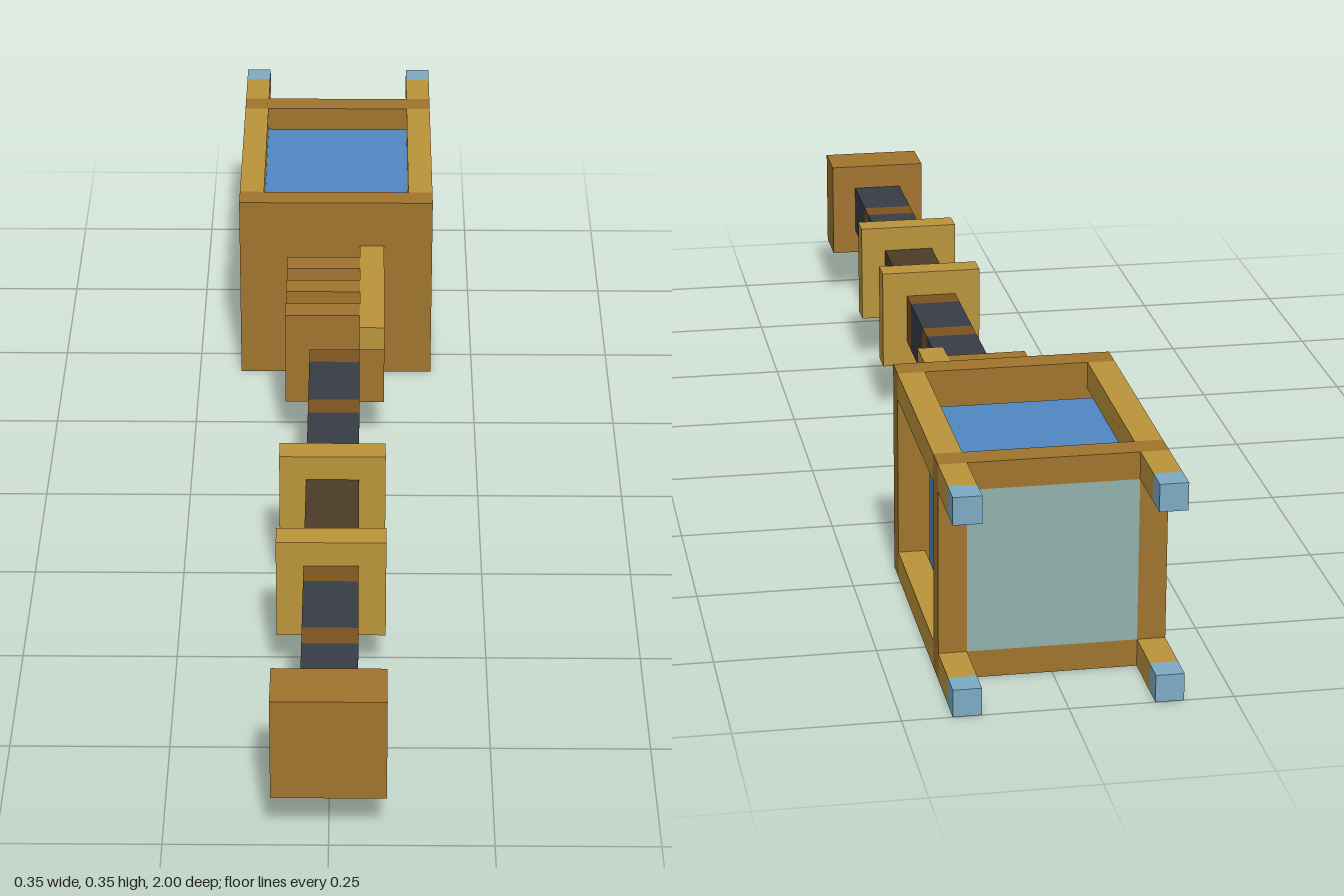
import * as THREE from 'three';

const U = 2 / 46; // one block unit; the model is 46 units long

const paint = (name, hex) => {
  const m = new THREE.MeshStandardMaterial({ color: hex });
  m.name = name;
  return m;
};

export function createModel() {
  const bronze = paint('bronze', 0xa0742d);
  const gold = paint('gold', 0xba943a);
  const steel = paint('dark steel', 0x363c46);
  const copper = paint('copper band', 0x7c5220);
  const leather = paint('leather', 0x4c3c28);
  const blue = paint('blue glass', 0x5087c2);
  const teal = paint('pale teal glass', 0x92b2aa);
  const ice = paint('ice blue', 0x7daac4);

  const model = new THREE.Group();
  model.name = 'sceptre';

  // Position along the shaft, counted in units back from the pommel end
  const along = (s) => 1 - s * U;
  const add = (name, geometry, material, x, y, z) => {
    const mesh = new THREE.Mesh(geometry, material);
    mesh.name = name;
    mesh.position.set(x * U, (y + 4) * U, z);
    model.add(mesh);
  };
  // Box of width w and height h centred on (x, y), from s0 to s1 along the shaft
  const block = (name, material, w, h, s0, s1, x = 0, y = 0) =>
    add(name, new THREE.BoxGeometry(w * U, h * U, (s1 - s0) * U), material, x, y, along((s0 + s1) / 2));
  // Flat outline extruded from s0 to s1
  const slab = (name, material, shape, s0, s1) =>
    add(name, new THREE.ExtrudeGeometry(shape, { depth: (s1 - s0) * U, bevelEnabled: false }), material, 0, 0, along(s1));
  const outline = (pts) => pts.map(([x, y]) => new THREE.Vector2(x * U, y * U));

  // Pommel and square shaft
  block('pommel', bronze, 4, 4, 0, 2);
  for (const [s0, s1] of [[2, 5], [6, 9], [18, 21], [22, 25]]) block('shaftSection', steel, 2, 2, s0, s1);
  for (const s of [5, 9, 17, 21, 25]) block('shaftBand', copper, 2, 2, s, s + 1);
  block('grip', leather, 2, 2, 11, 16);
  for (const s of [10, 16]) block('gripRing', gold, 4, 4, s, s + 1);

  // Neck: notched plates hung from an offset corner bar
  const notched = new THREE.Shape(outline([[-2, -2], [2, -2], [2, 1], [1, 1], [1, 2], [-2, 2]]));
  for (const s of [27, 29, 31]) slab('neckPlate', bronze, notched, s, s + 1);
  block('neckBar', gold, 1, 1, 26, 33, 1.5, 1.5);

  // Head: solid front plate, open rear frame, glass core
  block('headFrontPlate', bronze, 8, 8, 33, 34);
  const frame = new THREE.Shape(outline([[-4, -4], [4, -4], [4, 4], [-4, 4]]));
  frame.holes.push(new THREE.Path(outline([[-3, -3], [-3, 3], [3, 3], [3, -3]])));
  slab('headRearFrame', bronze, frame, 42, 43);
  block('glassCore', blue, 6, 6, 35, 42.85);
  block('rearLens', teal, 6, 6, 42.85, 43);

  // Corner rails, prongs and tips
  for (const x of [-3.5, 3.5]) {
    for (const y of [-3.5, 3.5]) {
      block('cornerRail', gold, 1, 1, 34, 42, x, y);
      block('prong', gold, 1, 1, 43, 45, x, y);
      block('prongTip', ice, 1, 1, 45, 46, x, y);
    }
  }
  return model;
}
